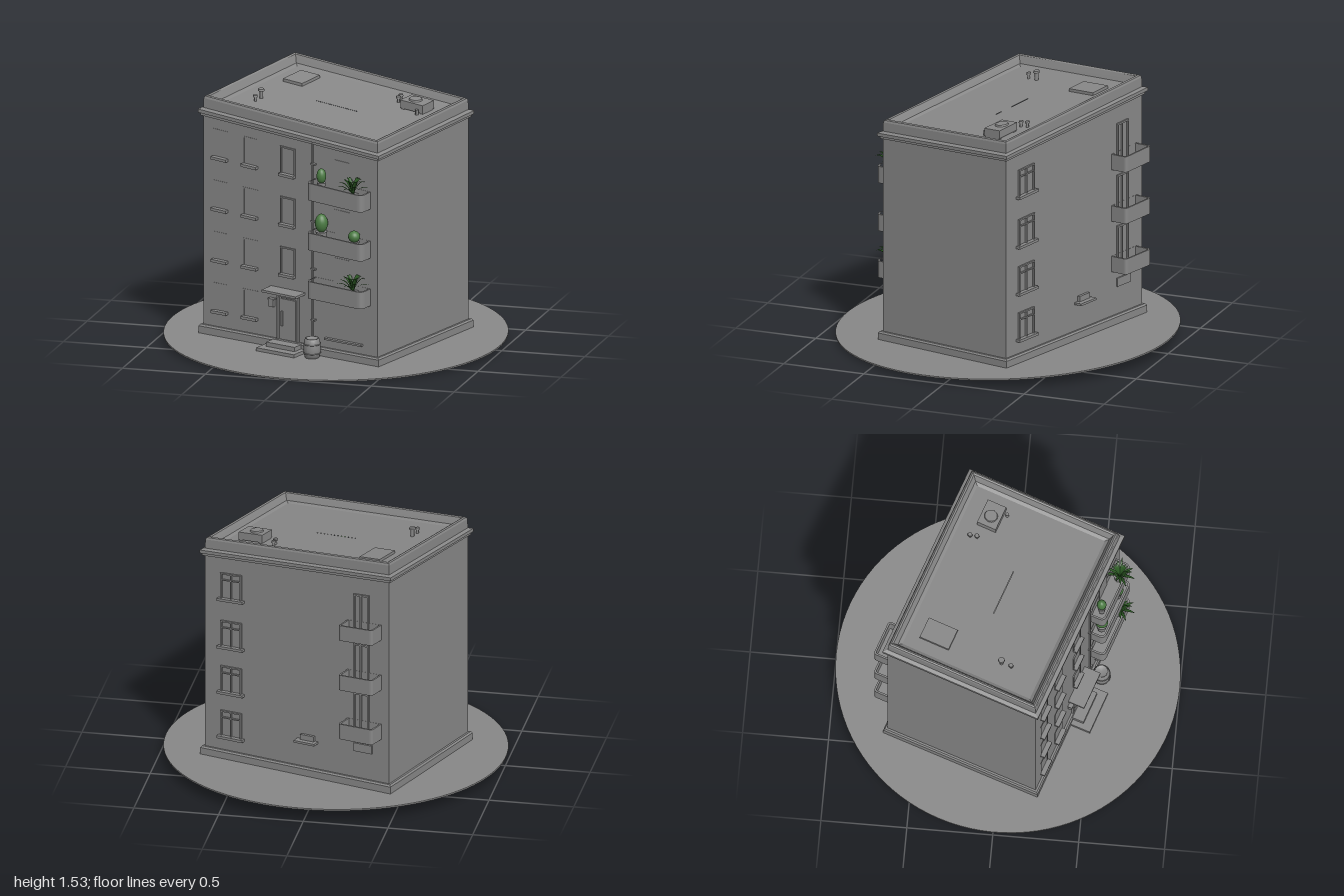
import * as THREE from 'three';
import { mergeGeometries } from 'three/addons/utils/BufferGeometryUtils.js';

const A = 0.612, D = 0.467;            // half length and half depth of the walls
const YAW = -0.32, CX = -0.0075, CZ = -0.025;

export function createModel() {
  const model = new THREE.Group();
  const mat = (name, color, side = THREE.FrontSide) => {
    const m = new THREE.MeshStandardMaterial({ color, side });
    m.name = name;
    return m;
  };
  const stone = mat('grey plaster', 0x888888);
  const bush = mat('bush green', 0x4a7a42);
  const palm = mat('palm green', 0x2c5a24, THREE.DoubleSide);

  // Slant every part: the slope grows from the ground up to the roof
  function slant(geo) {
    const p = geo.attributes.position;
    for (let i = 0; i < p.count; i++) {
      const y = p.getY(i), t = (y - 0.04) / 1.4;
      p.setY(i, y + (-0.005 - 0.051 * t) * p.getX(i) + (-0.037 - 0.056 * t) * p.getZ(i));
    }
    geo.computeVertexNormals();
    return geo;
  }
  // Add a part given in house coordinates (u along the front, v outwards)
  function add(name, geo, material = stone) {
    geo.rotateY(YAW).translate(CX, 0, CZ);
    const mesh = new THREE.Mesh(slant(geo), material);
    mesh.name = name;
    model.add(mesh);
    return mesh;
  }
  // Box from its lower and upper limits
  const box = (u0, u1, y0, y1, v0, v1) =>
    new THREE.BoxGeometry(u1 - u0, y1 - y0, Math.abs(v1 - v0))
      .translate((u0 + u1) / 2, (y0 + y1) / 2, (v0 + v1) / 2);
  const cyl = (r0, r1, u, y0, y1, v, n = 16) =>
    new THREE.CylinderGeometry(r1, r0, y1 - y0, n).translate(u, (y0 + y1) / 2, v);

  // Rectangular rings swept through [inset, height] steps
  function rings(steps) {
    const pos = [];
    const ring = ([i, y]) => [[A - i, y, D - i], [A - i, y, i - D], [i - A, y, i - D], [i - A, y, D - i]];
    for (let s = 0; s < steps.length - 1; s++) {
      const p = ring(steps[s]), q = ring(steps[s + 1]);
      for (let k = 0; k < 4; k++) {
        const n = (k + 1) % 4;
        pos.push(...p[k], ...p[n], ...q[n], ...p[k], ...q[n], ...q[k]);
      }
    }
    const g = new THREE.BufferGeometry();
    g.setAttribute('position', new THREE.Float32BufferAttribute(pos, 3));
    return g;
  }

  // Ground disc
  const ground = new THREE.Mesh(slant(new THREE.CylinderGeometry(1, 1, 0.009, 96).toNonIndexed().translate(0, 0.042, 0)), stone);
  ground.name = 'ground';
  model.add(ground);

  // House body
  add('plinth', rings([[0.466, 0.034], [-0.02, 0.034], [-0.02, 0.088], [-0.012, 0.098], [0, 0.098]]));
  add('walls', rings([[0, 0.06], [0, 1.36]]));
  add('cornice', rings([[0, 1.325], [-0.012, 1.325], [-0.012, 1.338], [-0.023, 1.342], [-0.023, 1.362], [0, 1.37]]));
  add('parapet', rings([[0, 1.365], [0.002, 1.425], [0.007, 1.437], [0.016, 1.442], [0.026, 1.437], [0.034, 1.42], [0.045, 1.395], [0.065, 1.385]]));
  add('roofDeck', rings([[0.065, 1.385], [0.466, 1.385]]));

  // Windows: frame, middle bar and sill; s is +1 at the front and -1 at the back
  function makeWindow(name, u, y, w, h, s, bars, sillW, proud) {
    const v0 = s * (D - 0.01), v1 = s * (D + proud), b = 0.009, x = w / 2;
    const parts = [
      box(u - x, u - x + b, y, y + h, v0, v1), box(u + x - b, u + x, y, y + h, v0, v1),
      box(u - x, u + x, y + h - b, y + h, v0, v1),
      box(u - sillW / 2, u + sillW / 2, y - 0.006, y + 0.01, v0, s * (D + 0.028)),
    ];
    if (bars) parts.push(box(u - 0.004, u + 0.004, y, y + h, v0, v1), box(u - x, u + x, y + h * 0.72, y + h * 0.72 + 0.007, v0, v1));
    add(name, mergeGeometries(parts));
  }
  const frontRows = [0.185, 0.487, 0.79, 1.093];
  frontRows.forEach((y, r) => {
    [-0.49, -0.28, -0.017].forEach((u, c) => {
      if (c < 2 || r > 0) makeWindow('frontWindow', u, y, 0.105, 0.17, 1, false, 0.105, c < 2 ? 0.002 : 0.007);
    });
  });
  [0.18, 0.465, 0.755, 1.06].forEach((y) => makeWindow('backWindow', 0.435, y, 0.14, 0.17, -1, true, 0.17, 0.012));

  // Balconies: rounded tray with a floor
  function balcony(name, u0, u1, depth, y0, y1, s, r) {
    const outline = (i, T) => {
      const sh = new T(), a = u0 + i, b = u1 - i, e = s * (D + depth - i), k = s * (D - 0.004 + i * 0.5), q = s * (r - i);
      const rr = r - i;
      sh.moveTo(a, k);
      sh.lineTo(a, e - q);
      sh.quadraticCurveTo(a, e, a + rr, e);
      sh.lineTo(b - rr, e);
      sh.quadraticCurveTo(b, e, b, e - q);
      sh.lineTo(b, k);
      sh.closePath();
      return sh;
    };
    const extrude = (shape, top, h) =>
      new THREE.ExtrudeGeometry(shape, { depth: h, bevelEnabled: false, curveSegments: 8 })
        .rotateX(Math.PI / 2).translate(0, top, 0);
    const wall = outline(0, THREE.Shape);
    wall.holes.push(outline(0.011, THREE.Path));
    add(name + 'Rail', extrude(wall, y1, y1 - y0 - 0.012));
    add(name + 'Floor', extrude(outline(0, THREE.Shape), y0 + 0.012, 0.012));
  }
  const frontFloors = [0.41, 0.707, 1.012], backFloors = [0.36, 0.66, 0.965];
  frontFloors.forEach((y) => {
    balcony('frontBalcony', 0.173, 0.563, 0.095, y, y + 0.105, 1, 0.035);
    add('frontBalconyDoor', box(0.31, 0.42, y + 0.01, y + 0.25, D - 0.01, D + 0.003));
  });
  backFloors.forEach((y) => {
    balcony('backBalcony', -0.56, -0.335, 0.112, y, y + 0.092, -1, 0.02);
    add('backBalconyDoor', mergeGeometries([
      box(-0.48, -0.47, y, y + 0.26, -D - 0.012, -D + 0.01), box(-0.39, -0.38, y, y + 0.26, -D - 0.012, -D + 0.01),
      box(-0.48, -0.38, y + 0.25, y + 0.26, -D - 0.012, -D + 0.01), box(-0.43, -0.422, y, y + 0.26, -D - 0.01, -D + 0.01),
    ]));
  });

  // Clipped bushes in pots
  function makeBush(u, y, r, h) {
    add('bush', new THREE.SphereGeometry(r, 20, 14).scale(1, h / (2 * r), 1).translate(u, y + h / 2, D + 0.045), bush);
    add('bushPot', cyl(r * 0.6, r * 0.9, u, y - 0.07, y + 0.006, D + 0.045));
  }
  makeBush(0.248, 1.115, 0.028, 0.09);
  makeBush(0.248, 0.815, 0.038, 0.112);
  makeBush(0.478, 0.8, 0.035, 0.07);

  // Palms: narrow blades arching out from one point
  function makePalm(u, y) {
    const blades = [];
    for (let i = 0; i < 22; i++) {
      const g = new THREE.PlaneGeometry(1, 1, 1, 6), p = g.attributes.position;
      const inner = i % 2, reach = inner ? 0.052 : 0.095 - 0.012 * (i % 3), rise = inner ? 0.105 : 0.065 + 0.014 * (i % 3);
      for (let k = 0; k < p.count; k++) {
        const t = p.getY(k) + 0.5, w = 0.017 * Math.sin(Math.PI * (0.12 + 0.87 * t));
        p.setXYZ(k, p.getX(k) * w, rise * (1.9 * t - 1.15 * t * t) * 1.2, reach * t);
      }
      blades.push(g.rotateY(i * 2.4).translate(u, y, D + 0.06));
    }
    add('palm', mergeGeometries(blades), palm);
    add('palmPot', cyl(0.022, 0.03, u, y - 0.06, y + 0.004, D + 0.05));
  }
  makePalm(0.48, 1.095);
  makePalm(0.48, 0.493);

  // Entrance: steps, door, canopy, letter box
  add('lowerStep', box(-0.145, 0.12, 0.04, 0.066, D, 0.607));
  add('upperStep', box(-0.112, 0.088, 0.04, 0.092, D, 0.553));
  add('canopy', box(-0.135, 0.104, 0.392, 0.406, D - 0.01, D + 0.1));
  add('doorFrame', mergeGeometries([
    box(-0.09, -0.078, 0.09, 0.365, D - 0.01, D + 0.014), box(0.05, 0.062, 0.09, 0.365, D - 0.01, D + 0.014),
    box(-0.09, 0.062, 0.353, 0.365, D - 0.01, D + 0.014),
  ]));
  add('door', box(-0.065, 0.038, 0.095, 0.343, D - 0.01, D + 0.006));
  add('doorHandle', box(-0.056, -0.048, 0.18, 0.27, D, D + 0.018));
  add('letterBox', box(-0.138, -0.108, 0.285, 0.33, D - 0.005, D + 0.022));
  add('letterBoxLid', box(-0.143, -0.103, 0.328, 0.336, D - 0.005, D + 0.027));

  // Drainpipe with clips, and the rain barrel below
  add('drainpipe', cyl(0.006, 0.006, 0.16, 0.14, 1.34, D + 0.008, 10));
  [0.25, 0.56, 0.85, 1.2].forEach((y) => add('pipeClip', box(0.152, 0.182, y, y + 0.008, D - 0.005, D + 0.018)));
  const profile = [[0, 0.04], [0.04, 0.04], [0.048, 0.07], [0.051, 0.1], [0.048, 0.135], [0.041, 0.163], [0.034, 0.163], [0.034, 0.155], [0, 0.155]];
  add('rainBarrel', new THREE.LatheGeometry(profile.map(([x, y]) => new THREE.Vector2(x, y)), 24).translate(0.197, 0, 0.533));
  [0.075, 0.13].forEach((y) => add('barrelHoop', new THREE.TorusGeometry(0.049, 0.003, 6, 24).rotateX(Math.PI / 2).translate(0.197, y, 0.533)));
  add('cellarLedge', box(0.25, 0.51, 0.15, 0.161, D - 0.01, D + 0.022));

  // Back wall fittings
  add('wallUnit', box(-0.14, -0.004, 0.255, 0.268, -D - 0.05, -D + 0.01));
  add('wallUnitBack', box(-0.12, -0.03, 0.262, 0.3, -D - 0.018, -D + 0.01));
  add('cellarVent', box(-0.5, -0.38, 0.26, 0.31, -D - 0.01, -D + 0.01));

  // Roof fittings
  add('roofHatch', box(-0.47, -0.336, 1.38, 1.402, -0.326, -0.144));
  add('coolingUnit', box(0.322, 0.478, 1.392, 1.44, -0.306, -0.19));
  add('coolingFan', cyl(0.04, 0.036, 0.39, 1.438, 1.449, -0.248, 24));
  [0.335, 0.465].forEach((u) => add('coolingFoot', box(u - 0.01, u + 0.01, 1.38, 1.394, -0.3, -0.196)));
  add('coolingPipe', cyl(0.01, 0.01, 0.45, 1.38, 1.415, -0.172, 10));
  // Chimney and vent pipes with caps: [u, v, radius, top]
  [[-0.412, 0.165, 0.011, 1.43], [-0.412, 0.225, 0.008, 1.41], [0.24, -0.316, 0.008, 1.41], [0.25, -0.276, 0.008, 1.41]].forEach(([u, v, r, top]) => {
    add('ventPipe', cyl(r, r, u, 1.38, top, v, 12));
    add('ventCap', cyl(r * 1.8, r * 1.6, u, top, top + 0.011, v, 12));
  });
  return model;
}
